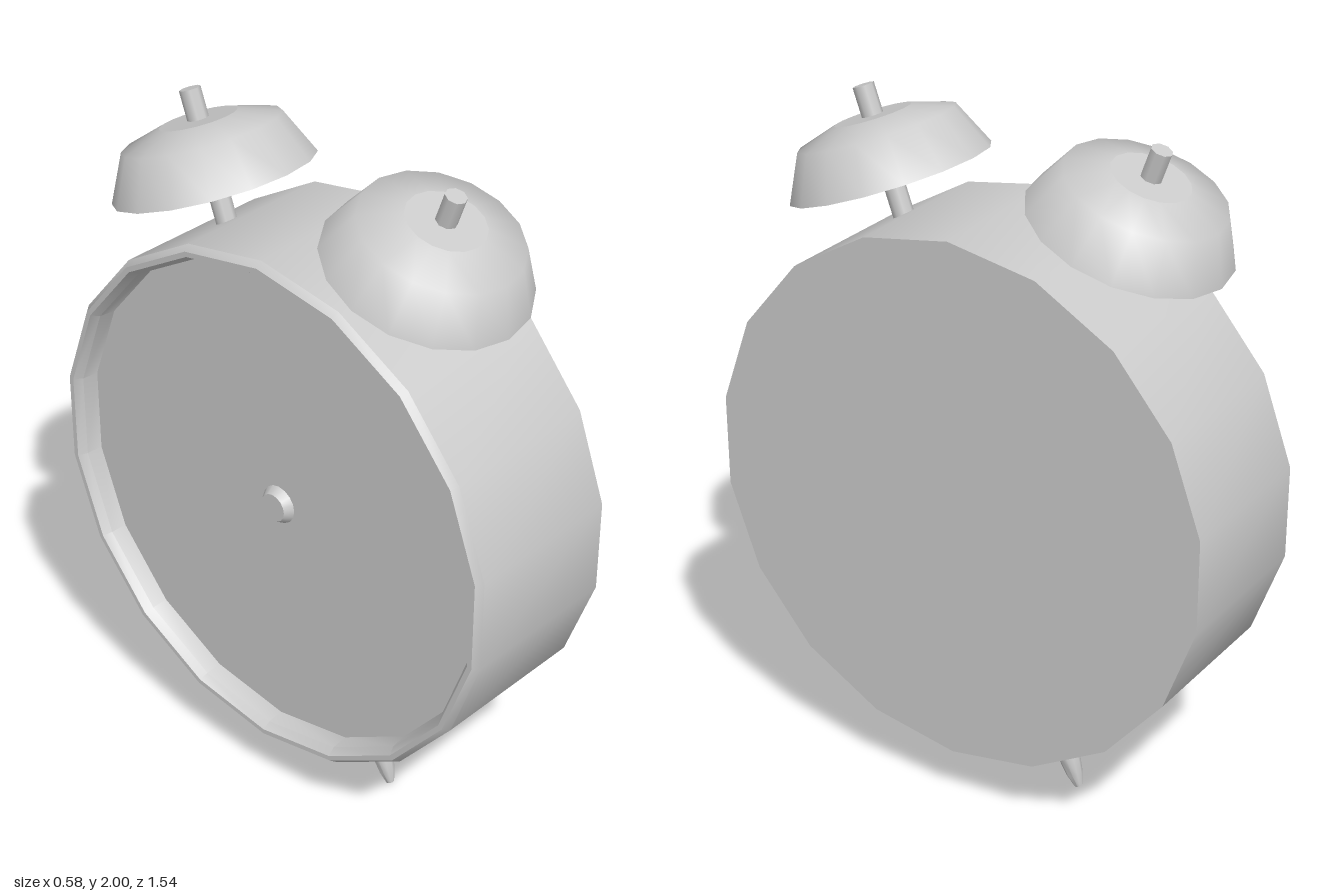
import * as THREE from 'three';
import { toCreasedNormals } from 'three/addons/utils/BufferGeometryUtils.js';

const grey = new THREE.MeshStandardMaterial({ color: 0xcccccc });
const thin = new THREE.MeshStandardMaterial({ color: 0xcccccc, side: THREE.DoubleSide });
const TILT = THREE.MathUtils.degToRad(20);

function add(parent, name, geometry, material = grey) {
  const mesh = new THREE.Mesh(geometry, material);
  mesh.name = name;
  parent.add(mesh);
  return mesh;
}

// Turned solid from [radius, height] pairs
function turned(points, sides, phiStart = 0) {
  return new THREE.LatheGeometry(points.map(([r, h]) => new THREE.Vector2(r, h)), sides, phiStart);
}

// Open bell dome on a tilted rod
function makeBell(name, z, side) {
  const bell = new THREE.Group();
  bell.name = name;
  add(bell, 'bellDome', turned([[0.288, 0], [0.225, 0.13], [0.11, 0.166]], 16), thin);
  const top = add(bell, 'bellTop', new THREE.CircleGeometry(0.11, 16), thin);
  top.rotation.x = -Math.PI / 2;
  top.position.y = 0.166;
  const rod = add(bell, 'bellRod', new THREE.CylinderGeometry(0.03, 0.03, 0.42, 8));
  rod.position.y = 0.04;
  bell.position.set(0, 1.755, z);
  bell.rotation.x = side * TILT;
  return bell;
}

export function createModel() {
  const clock = new THREE.Group();
  clock.name = 'alarmClock';

  // Drum lying along x: flat back, bevelled rim and recessed dial facing -x
  const drum = new THREE.Group();
  drum.name = 'drum';
  drum.rotation.z = Math.PI / 2;
  drum.position.y = 0.95;
  clock.add(drum);
  const profile = [
    [0, -0.27], [0.78, -0.27], [0.78, 0.22], [0.765, 0.24],
    [0.75, 0.24], [0.735, 0.215], [0.73, 0.165], [0, 0.165],
  ];
  add(drum, 'case', toCreasedNormals(turned(profile, 18, Math.PI / 2), 0.45));

  // Small knob in the middle of the dial
  const hub = add(drum, 'dialHub', new THREE.CylinderGeometry(0.042, 0.058, 0.026, 16));
  hub.position.y = 0.177;

  clock.add(makeBell('frontBell', 0.37, 1), makeBell('backBell', -0.385, -1));

  // Splayed, tapering feet
  const foot = turned([[0, 0], [0.012, 0], [0.024, 0.04], [0.034, 0.11], [0.031, 0.23], [0, 0.23]], 10);
  const footGeometry = toCreasedNormals(foot, 0.7);
  for (const [name, z, side] of [['frontFoot', 0.272, 1], ['backFoot', -0.262, -1]]) {
    const leg = add(clock, name, footGeometry);
    leg.position.set(0.01, 0.004, z);
    leg.rotation.x = -side * TILT;
  }

  return clock;
}
